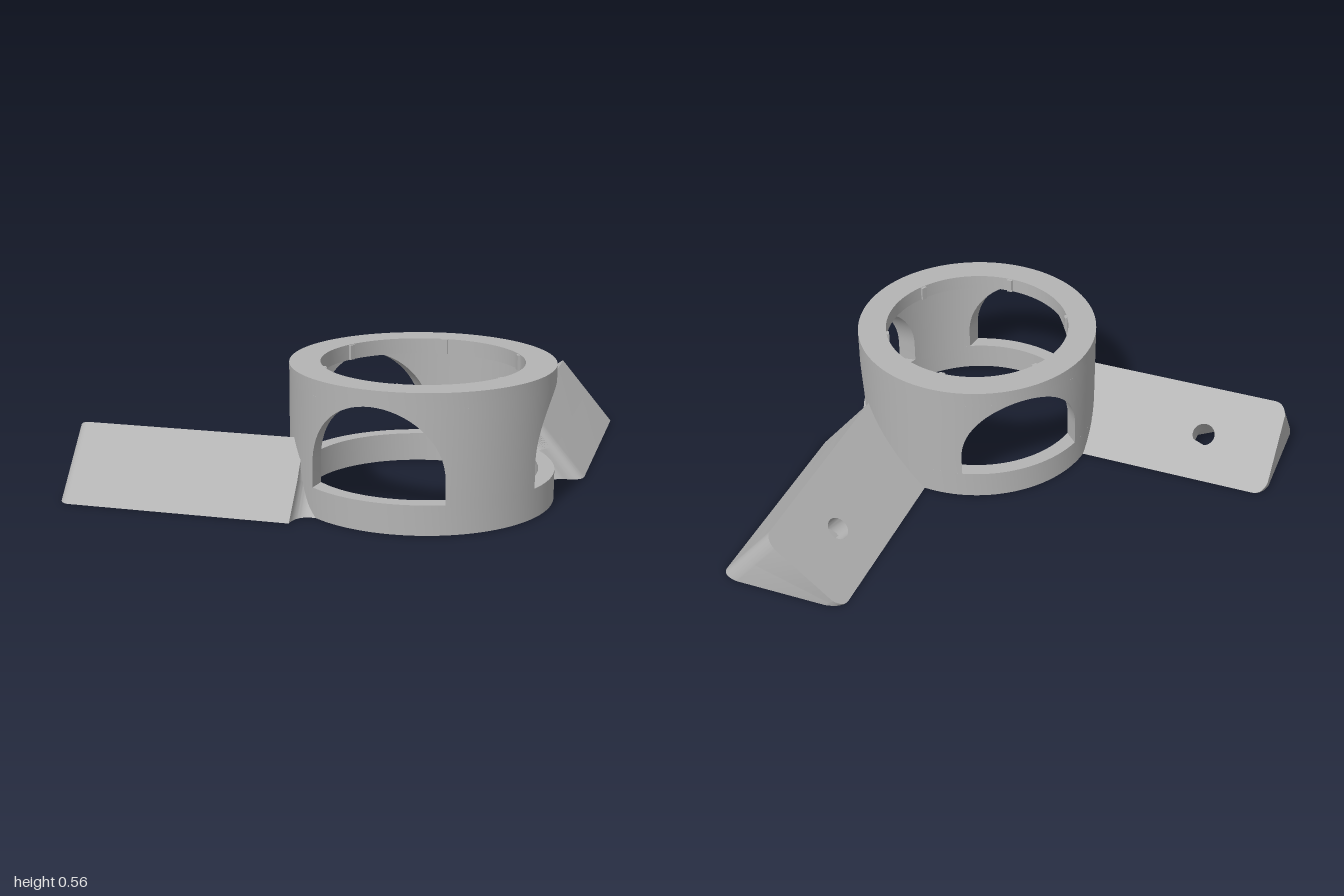
import * as THREE from 'three';
import { toCreasedNormals } from 'three/addons/utils/BufferGeometryUtils.js';

const CX = 0.386, CZ = 0.418;               // ring axis
const OUTER = 0.535, WALL = 0.47, LIP = 0.41;
const TOP = 0.555, LIP_Y = 0.49, SILL = 0.12;
const HALF = 0.275;                         // half width of an arched window
const TILT = THREE.MathUtils.degToRad(40);  // slope of the arm's mounting face
const LEN = 0.433;                          // width of that sloped face
const rad = THREE.MathUtils.degToRad;

function meshFrom(positions, material, name) {
  const g = new THREE.BufferGeometry();
  g.setAttribute('position', new THREE.Float32BufferAttribute(positions, 3));
  const mesh = new THREE.Mesh(toCreasedNormals(g, rad(30)), material);
  mesh.name = name;
  return mesh;
}

// Plain ring with a rectangular section
function ring(r0, r1, y0, y1, material, name) {
  const pts = [[r0, y0], [r1, y0], [r1, y1], [r0, y1], [r0, y0]].map(p => new THREE.Vector2(...p));
  const g = new THREE.LatheGeometry(pts, 120).toNonIndexed();
  const mesh = new THREE.Mesh(toCreasedNormals(g, rad(30)), material);
  mesh.position.set(CX, 0, CZ);
  mesh.name = name;
  return mesh;
}

// Wall with three arched windows, swept column by column around the axis
function windowWall(material) {
  const centres = [-8.5, 98.5, 225].map(rad);
  const aOut = Math.asin(HALF / OUTER), aIn = Math.asin(HALF / WALL);
  const columns = [];
  const at = (r, a, y) => [CX + r * Math.cos(a), y, CZ + r * Math.sin(a)];
  const add = (angIn, angOut, low) => columns.push([
    at(WALL, angIn, low), at(OUTER, angOut, low), at(OUTER, angOut, LIP_Y), at(WALL, angIn, LIP_Y)]);
  centres.forEach((c, i) => {
    const next = i < 2 ? centres[i + 1] : centres[0] + Math.PI * 2;
    for (let k = 0; k <= 32; k++) {         // arch header
      const t = Math.PI * k / 32, s = -HALF * Math.cos(t);
      add(c + Math.asin(s / WALL), c + Math.asin(s / OUTER), LIP_Y - HALF + HALF * Math.sin(t));
    }
    for (let k = 0; k <= 16; k++) {         // pillar
      const t = k / 16;
      add(THREE.MathUtils.lerp(c + aIn, next - aIn, t), THREE.MathUtils.lerp(c + aOut, next - aOut, t), SILL);
    }
  });
  const pos = [];
  columns.forEach((a, i) => {
    const b = columns[(i + 1) % columns.length];
    for (let k = 0; k < 4; k++) {
      const n = (k + 1) % 4;
      pos.push(...a[k], ...a[n], ...b[k], ...a[n], ...b[n], ...b[k]);
    }
  });
  return meshFrom(pos, material, 'windowWall');
}

// Wedge arm: a rounded plate outline pushed square to its sloped face down to the ground
function arm(o, material) {
  const r = 0.06, far = 0.35, group = new THREE.Group();
  group.name = o.name;

  const outline = hole => {
    const s = new THREE.Shape();
    s.moveTo(o.tip + r, 0);
    for (let k = 0; k <= 14; k++) s.lineTo(far, o.neck * k / 14);
    o.notch(s);
    s.lineTo(o.tip + r, LEN);
    s.quadraticCurveTo(o.tip + r * 0.2, LEN, o.tip, LEN - r);
    s.lineTo(o.tip, r);
    s.quadraticCurveTo(o.tip + r * 0.2, 0, o.tip + r, 0);
    s.holes.push(hole);
    return s;
  };
  const screw = new THREE.Path().absarc(o.hole, 0.211, 0.05, 0, Math.PI * 2, true);
  const nut = new THREE.Path().setFromPoints([0, 1, 2, 3, 4, 5, 0].map(k => new THREE.Vector2(
    o.hole + 0.075 * Math.sin(k * Math.PI / 3), 0.211 + 0.075 * Math.cos(k * Math.PI / 3))));

  const layer = (hole, f0, f1, name) => {
    const g = new THREE.ExtrudeGeometry(outline(hole), { depth: 1, bevelEnabled: false, curveSegments: 16 });
    const p = (g.index ? g.toNonIndexed() : g).attributes.position;
    const pos = [];
    for (let i = 0; i < p.count; i += 3) {
      for (const j of o.swap ? [0, 2, 1] : [0, 1, 2]) {
        const u = p.getY(i + j);
        const v = u * Math.tan(TILT) * (f0 + (f1 - f0) * p.getZ(i + j));
        const across = o.inner + u * Math.cos(TILT) + v * Math.sin(TILT);
        const y = Math.max(0, u * Math.sin(TILT) - v * Math.cos(TILT));
        // stop the arm inside the thickness of the ring wall
        const limit = o.axis - Math.sqrt(Math.max(0, 0.25 - (across - o.mid) ** 2));
        const along = Math.min(p.getX(i + j), limit);
        pos.push(...(o.swap ? [across, y, along] : [along, y, across]));
      }
    }
    group.add(meshFrom(pos, material, name));
  };
  layer(screw, 0, 0.5, 'armUpper');
  layer(nut, 0.5, 1, 'armLower');
  return group;
}

export function createModel() {
  const model = new THREE.Group();
  model.name = 'ringBracket';
  const grey = new THREE.MeshStandardMaterial({ color: 0xb4b4b4 });
  grey.name = 'grey';

  // Ring holder
  model.add(ring(WALL, OUTER, 0, SILL, grey, 'baseRing'));
  model.add(windowWall(grey));
  model.add(ring(LIP, OUTER, LIP_Y, TOP, grey, 'topLip'));

  // Small grip ribs inside the lip
  for (let k = 0; k < 6; k++) {
    const a = rad(30 + 60 * k);
    const rib = new THREE.Mesh(new THREE.BoxGeometry(0.03, TOP - LIP_Y - 0.004, 0.025), grey);
    rib.position.set(CX + (LIP + 0.003) * Math.cos(a), (TOP + LIP_Y) / 2, CZ + (LIP + 0.003) * Math.sin(a));
    rib.rotation.y = -a;
    rib.name = 'gripRib';
    model.add(rib);
  }

  // Two mounting arms at right angles
  model.add(arm({
    name: 'rightArm', tip: -1, hole: -0.665, inner: 0.369, axis: CX, mid: CZ, neck: 0.363, swap: false,
    notch: s => {
      s.lineTo(0.05, 0.363);
      s.quadraticCurveTo(-0.02, 0.363, -0.02, LEN);
    },
  }, grey));
  model.add(arm({
    name: 'backArm', tip: -0.96, hole: -0.645, inner: 0.433, axis: CZ, mid: CX, neck: 0.331, swap: true,
    notch: s => {
      s.lineTo(0.16, 0.331);
      s.quadraticCurveTo(0.08, 0.331, 0.08, 0.38);
      s.quadraticCurveTo(0.08, LEN, 0.02, LEN);
    },
  }, grey));
  return model;
}
